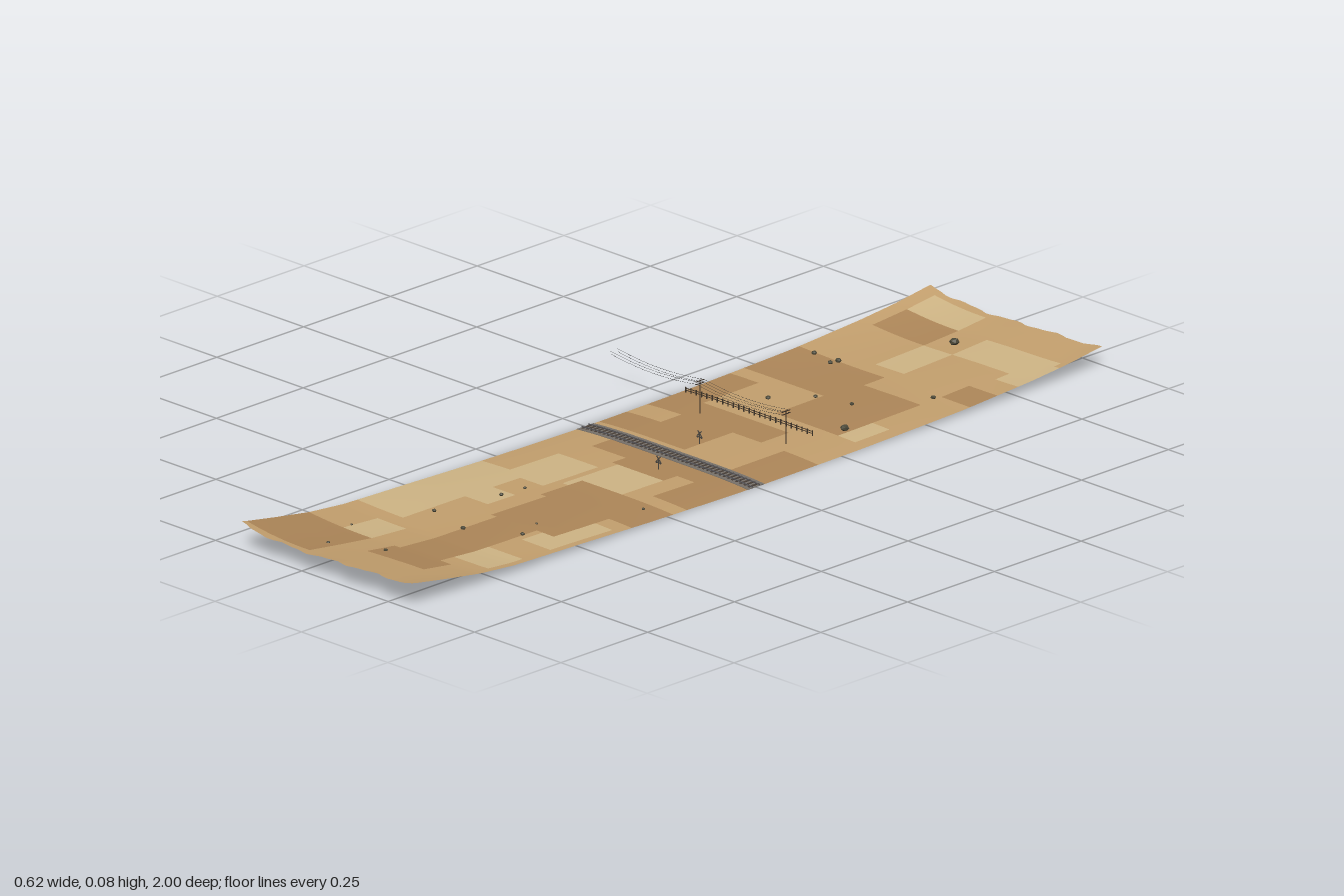
import * as THREE from 'three';
import { mergeGeometries } from 'three/addons/utils/BufferGeometryUtils.js';

const CX = 0.0625, HALF = 0.2475; // strip centre and half width
const mat = (color, extra = {}) => new THREE.MeshStandardMaterial({ color, ...extra });

// Long profile of the ground: [z, y]
const PROFILE = [[-1, .032], [-.9, .022], [-.8, .016], [-.6, .009], [-.3, .006], [0, .005],
  [.3, .008], [.5, .011], [.7, .012], [.8, .018], [.9, .03], [1, .043]];

function groundY(x, z) {
  let i = 0;
  while (i < PROFILE.length - 2 && z > PROFILE[i + 1][0]) i++;
  const [z0, y0] = PROFILE[i], [z1, y1] = PROFILE[i + 1];
  const base = THREE.MathUtils.lerp(y0, y1, (z - z0) / (z1 - z0));
  const u = (x - CX) / HALF;
  return base + u ** 4 * (-.005 + .016 * z * z) + .003 * z * z * Math.sin(15 * x - 1.2);
}

// Sand patches: [x0, x1, z0, z1]
const DARK = [[-.19, .06, -.62, -.46], [.05, .23, -.57, -.32], [.23, .31, -.7, -.61], [-.15, -.01, -.9, -.79],
  [-.19, -.11, -.42, -.26], [-.19, .15, -.26, -.18], [-.08, .07, -.18, -.04], [.21, .31, -.18, -.03],
  [-.19, -.08, -.11, -.05], [-.08, .31, .02, .08], [.02, .16, .08, .12], [.21, .31, .04, .2],
  [.05, .31, .24, .36], [.06, .24, .36, .52], [.08, .2, .52, .8], [.06, .23, .8, .88], [-.19, 0, .8, .99]];
const LIGHT = [[.08, .3, -.9, -.8], [-.01, .08, -.8, -.66], [-.15, -.01, -.99, -.9], [.16, .27, -.42, -.32],
  [-.11, .02, .16, .32], [.03, .16, .12, .28], [-.19, -.06, .3, .66], [-.13, .02, .4, .48],
  [.21, .3, .4, .58], [.16, .3, .66, .76], [-.09, 0, .69, .8], [.24, .31, -.88, -.76]];
const inside = (list, x, z) => list.some(r => x > r[0] && x < r[1] && z > r[2] && z < r[3]);

// Curved ground sheet, split into three sand tones
function makeGround() {
  const nx = 30, nz = 100, buckets = [[], [], []];
  const geo = new THREE.PlaneGeometry(2 * HALF, 2, nx, nz).rotateX(-Math.PI / 2).translate(CX, 0, 0);
  const p = geo.attributes.position;
  for (let i = 0; i < p.count; i++) {
    const x = p.getX(i), t = p.getZ(i);
    const wave = .994 + .004 * Math.sin(50 * x + t) + .002 * Math.sin(113 * x);
    const z = Math.abs(t) > .999 ? t * wave : t * .994;
    p.setXYZ(i, x, groundY(x, t), z);
  }
  geo.computeVertexNormals();
  const index = geo.index.array;
  for (let c = 0; c < nx * nz; c++) {
    const x = CX - HALF + (c % nx + .5) * 2 * HALF / nx, z = -1 + (Math.floor(c / nx) + .5) * 2 / nz;
    const tone = inside(DARK, x, z) ? 1 : inside(LIGHT, x, z) ? 2 : 0;
    buckets[tone].push(...index.slice(c * 6, c * 6 + 6));
  }
  const group = new THREE.Group();
  group.name = 'ground';
  [['sand', 0xc4a06e], ['darkSand', 0xae8759], ['lightSand', 0xcfb585]].forEach(([name, color], i) => {
    const part = geo.clone().setIndex(buckets[i]);
    const mesh = new THREE.Mesh(part, mat(color, { side: THREE.DoubleSide }));
    mesh.name = name;
    group.add(mesh);
  });
  return group;
}

// Box following the ground along x
function drapedBox(depth, height, z, lift) {
  const geo = new THREE.BoxGeometry(2 * HALF, height, depth, 40, 1, 1).translate(CX, lift + height / 2, z);
  const p = geo.attributes.position;
  for (let i = 0; i < p.count; i++) p.setY(i, p.getY(i) + groundY(p.getX(i), 0));
  geo.computeVertexNormals();
  return geo;
}

const box = (w, h, d, x, y, z) => new THREE.BoxGeometry(w, h, d).translate(x, y, z);
const rod = (r, h, x, y, z) => new THREE.CylinderGeometry(r, r, h, 6).translate(x, y + h / 2, z);

export function createModel() {
  const model = new THREE.Group();
  model.name = 'desertRailway';
  const add = (name, geos, color, extra) => {
    const mesh = new THREE.Mesh(mergeGeometries(geos), mat(color, extra));
    mesh.name = name;
    model.add(mesh);
  };
  model.add(makeGround());

  // Railway track
  add('ballast', [drapedBox(.048, .0012, 0, 0)], 0x77716a);
  const ties = [];
  for (let i = 0; i < 41; i++) {
    const x = CX - HALF + .0075 + i * .012;
    ties.push(box(.005, .0012, .03, x, groundY(x, 0) + .0016, 0));
  }
  add('ties', ties, 0x4a4038);
  add('rails', [-.01, .01].map(z => drapedBox(.0018, .0018, z, .002)), 0x55555a);

  // Telegraph poles with crossarms
  const poleZ = -.21, poles = [];
  for (const x of [-.063, .186]) {
    const y = groundY(x, poleZ);
    poles.push(rod(.0011, .079 - y, x, y, poleZ));
    for (const armY of [.077, .071]) poles.push(box(.0014, .0014, .024, x, armY, poleZ));
  }
  add('telegraphPoles', poles, 0x3c3026);

  // Sagging wires over two spans
  const wires = [];
  for (const x0 of [-.312, -.063]) for (const y of [.0775, .0715]) for (const side of [-1, 1]) {
    const z = poleZ + side * .01;
    const curve = new THREE.QuadraticBezierCurve3(new THREE.Vector3(x0, y, z),
      new THREE.Vector3(x0 + .1245, y - .019, z), new THREE.Vector3(x0 + .249, y, z));
    wires.push(new THREE.TubeGeometry(curve, 14, .0003, 4));
  }
  add('wires', wires, 0x2b2b2b);

  // Fence
  const fence = [], fenceZ = -.28;
  for (let i = 0; i <= 24; i++) {
    const x = -.175 + i * .0153, y = groundY(x, fenceZ);
    fence.push(box(.002, .012, .002, x, y + .006, fenceZ));
    if (i < 24) for (const lift of [.005, .0095]) fence.push(box(.0156, .0013, .001, x + .0077, y + lift, fenceZ));
  }
  add('fence', fence, 0x40352a);

  // Crossing signs on both sides of the track
  const signs = [];
  for (const [x, z] of [[.061, -.085], [.108, .08]]) {
    const y = groundY(x, z);
    signs.push(rod(.0011, .026, x, y, z), box(.012, .002, .0015, x, y + .015, z));
    for (const a of [-1, 1]) {
      signs.push(new THREE.BoxGeometry(.016, .0024, .001).rotateZ(a * Math.PI / 4).translate(x, y + .023, z));
      signs.push(new THREE.CylinderGeometry(.0022, .0022, .002, 8).rotateX(Math.PI / 2).translate(x + a * .006, y + .015, z));
    }
  }
  add('crossingSigns', signs, 0x4a4640);

  // Scattered scrub: x, z, radius
  const SCRUB = [[.04, -.84, .011], [-.135, -.61, .006], [-.07, -.615, .007], [-.075, -.597, .006],
    [.22, -.6, .006], [.04, -.44, .005], [.125, -.46, .005], [-.024, -.367, .006], [.215, -.35, .01],
    [.253, .268, .004], [0, .357, .004], [-.005, .42, .005], [.167, .49, .003], [.193, .556, .005],
    [-.034, .585, .005], [.082, .617, .006], [-.087, .77, .003], [.082, .84, .005], [-.024, .9, .004]];
  add('scrub', SCRUB.map(([x, z, r], i) => new THREE.IcosahedronGeometry(r, 0)
    .rotateY(i * 1.7).scale(1, .75, 1).translate(x, groundY(x, z) + r * .45, z)), 0x4b4838, { flatShading: true });

  return model;
}
